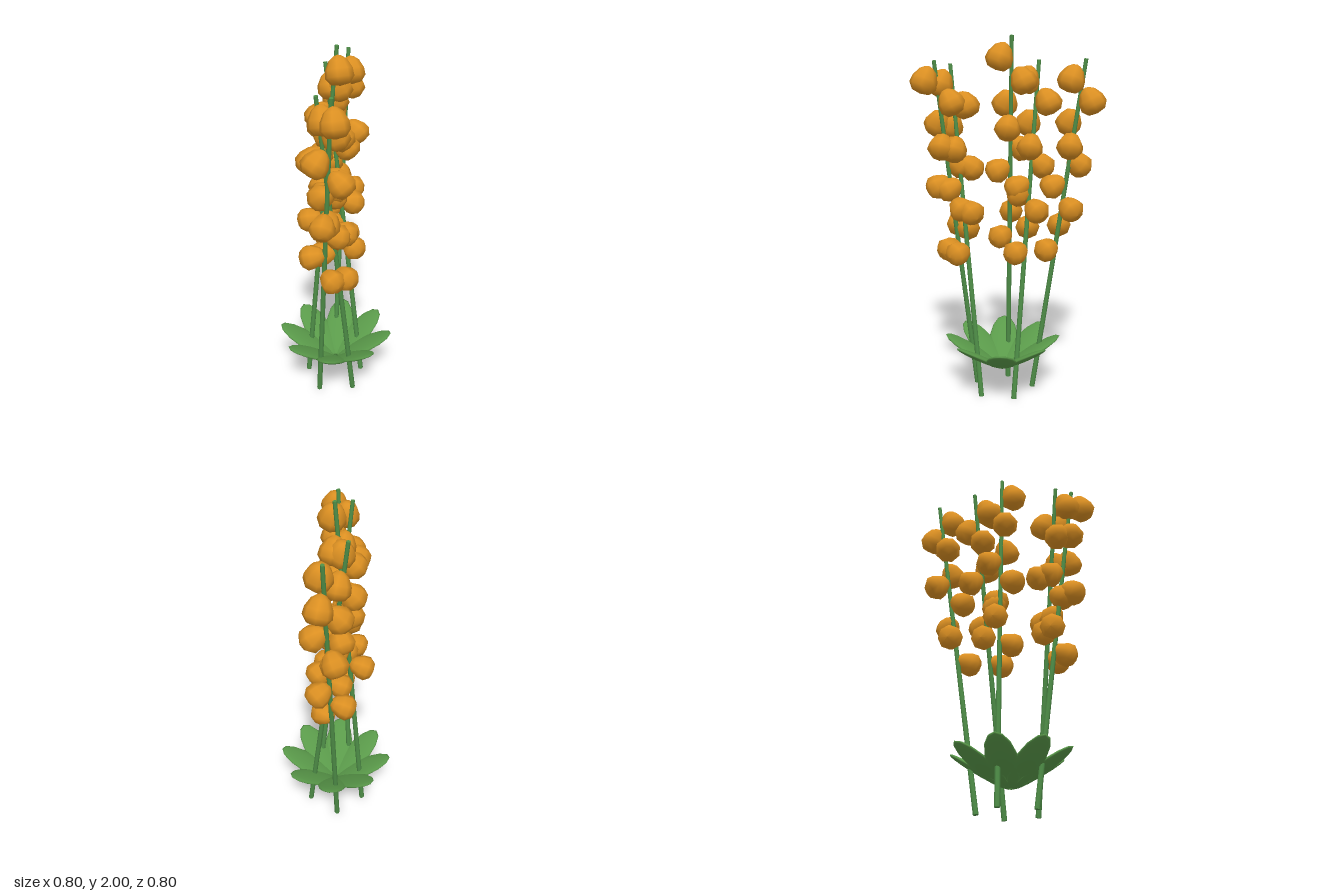
import * as THREE from 'three';

const UP = new THREE.Vector3(0, 1, 0);

export function createModel() {
  const model = new THREE.Group();
  const stemGreen = new THREE.MeshStandardMaterial({ color: 0x4f8f48 });
  const leafGreen = new THREE.MeshStandardMaterial({ color: 0x5a9a4a });
  const petalOrange = new THREE.MeshStandardMaterial({ color: 0xdc9022 });
  stemGreen.name = 'stemGreen';
  leafGreen.name = 'leafGreen';
  petalOrange.name = 'petalOrange';

  // Acorn-shaped blossom, narrow at the stem end (+y)
  const blossomGeometry = new THREE.LatheGeometry([
    [0, -0.07], [0.045, -0.062], [0.07, -0.03], [0.066, 0.008], [0.044, 0.05], [0.02, 0.068], [0, 0.074],
  ].map(([x, y]) => new THREE.Vector2(x, y)), 8);

  // Leaning stems: foot and tip
  const stems = [
    [[-0.145, 0, -0.06], [-0.305, 1.88, -0.285]],
    [[0.05, 0, -0.11], [-0.195, 1.87, -0.045]],
    [[-0.14, 0, 0.14], [-0.035, 2, 0]],
    [[0.16, 0, 0.04], [0.16, 1.85, 0.275]],
    [[0.05, 0, 0.2], [0.275, 1.87, 0.27]],
  ];
  const blossomCount = 9;
  const goldenAngle = THREE.MathUtils.degToRad(137.5);

  for (const [a, b] of stems) {
    const stalk = new THREE.Group();
    stalk.name = 'flowerStalk';
    const foot = new THREE.Vector3(...a), tip = new THREE.Vector3(...b);
    const along = tip.clone().sub(foot);
    const stem = new THREE.Mesh(new THREE.CylinderGeometry(0.011, 0.015, along.length(), 7), stemGreen);
    stem.name = 'stem';
    stem.position.copy(foot).lerp(tip, 0.5);
    stem.quaternion.setFromUnitVectors(UP, along.normalize());
    stalk.add(stem);

    // Blossoms spiral up the stem, nodding more towards the top
    for (let i = 0; i < blossomCount; i++) {
      const t = i / (blossomCount - 1);
      const angle = i * goldenAngle;
      const out = new THREE.Vector3(Math.cos(angle), 0, Math.sin(angle));
      const droop = THREE.MathUtils.degToRad(12 + 56 * t);
      const axis = out.clone().multiplyScalar(-Math.cos(droop)).addScaledVector(UP, Math.sin(droop));
      const blossom = new THREE.Mesh(blossomGeometry, petalOrange);
      blossom.name = 'blossom';
      blossom.position.copy(foot).lerp(tip, 0.45 + 0.495 * t).addScaledVector(out, 0.066);
      blossom.quaternion.setFromUnitVectors(UP, axis);
      blossom.scale.setScalar(0.96 + 0.1 * t);
      stalk.add(blossom);
    }
    model.add(stalk);
  }

  // Rosette of eight flattened, rising leaves
  const leafGeometry = new THREE.SphereGeometry(1, 14, 10);
  leafGeometry.scale(0.187, 0.018, 0.084);
  leafGeometry.rotateZ(THREE.MathUtils.degToRad(32));
  leafGeometry.translate(0.167, 0.226, 0);
  const rosette = new THREE.Group();
  rosette.name = 'leafRosette';
  rosette.position.set(-0.003, 0, 0.04);
  for (let i = 0; i < 8; i++) {
    const leaf = new THREE.Mesh(leafGeometry, leafGreen);
    leaf.name = 'leaf';
    leaf.rotation.y = (i * Math.PI) / 4;
    rosette.add(leaf);
  }
  model.add(rosette);
  return model;
}
